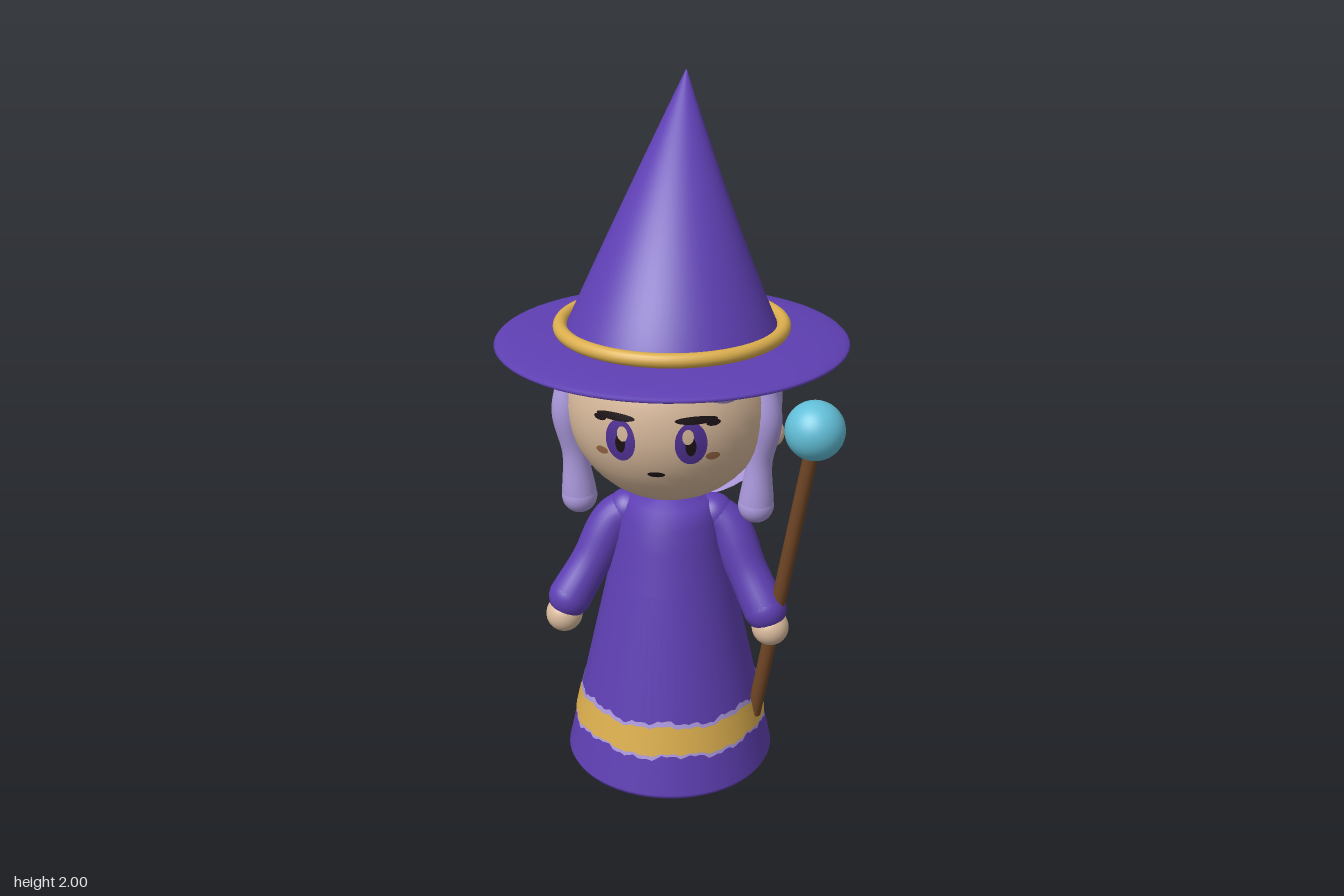
import * as THREE from 'three';
import { mergeVertices } from 'three/addons/utils/BufferGeometryUtils.js';

const mat = (name, color, extra = {}) => {
  const m = new THREE.MeshStandardMaterial({ color, ...extra });
  m.name = name;
  return m;
};
const V = (x, y, z) => new THREE.Vector3(x, y, z);

// Recompute normals with seams welded
function smooth(geo) {
  geo.deleteAttribute('uv');
  geo.deleteAttribute('normal');
  const g = mergeVertices(geo, 1e-5);
  g.computeVertexNormals();
  return g;
}

// Tube whose radius varies along its length
function sweep(points, radii) {
  const n = 32, sides = 24;
  const path = new THREE.CatmullRomCurve3(points);
  const geo = new THREE.TubeGeometry(path, n, 1, sides);
  const p = geo.attributes.position, v = V(0, 0, 0);
  const profile = new THREE.SplineCurve(radii.map((r, i) => new THREE.Vector2(i, r)));
  for (let i = 0; i <= n; i++) {
    const c = path.getPointAt(i / n), r = profile.getPoint(i / n).y;
    for (let j = 0; j <= sides; j++) {
      const k = i * (sides + 1) + j;
      v.fromBufferAttribute(p, k).sub(c).multiplyScalar(r).add(c);
      p.setXYZ(k, v.x, v.y, v.z);
    }
  }
  return smooth(geo);
}

export function createModel() {
  const robeMat = mat('purple cloth', 0x5e3fb2);
  const goldMat = mat('gold trim', 0xdbae4e);
  const hairMat = mat('lavender hair', 0xac9ade, { side: THREE.DoubleSide });
  const skinMat = mat('skin', 0xdabb9d);
  const woodMat = mat('brown wood', 0x6e4424);
  const orbMat = mat('blue orb', 0x62bfd8);
  const irisMat = mat('violet iris', 0x533499);
  const darkMat = mat('dark lash', 0x1c1216);
  const blushMat = mat('brown blush', 0x9a6a45);

  const model = new THREE.Group();
  const add = (name, geo, material, x = 0, y = 0, z = 0) => {
    const m = new THREE.Mesh(geo, material);
    m.name = name;
    m.position.set(x, y, z);
    model.add(m);
    return m;
  };
  const ball = (name, material, x, y, z, rx, ry = rx, rz = rx) => {
    const m = add(name, new THREE.SphereGeometry(1, 32, 24), material, x, y, z);
    m.scale.set(rx, ry, rz);
    return m;
  };

  // Robe: straight flared skirt up to a rounded collar
  const robeZ = 0.04;
  const robeR = (y) => 0.31 - 0.22 * (y - 0.02);
  const robe = [[0, 0], [0.285, 0], [0.303, 0.006], [0.31, 0.02], [robeR(0.6), 0.6],
    [0.153, 0.72], [0.14, 0.79], [0.115, 0.84], [0, 0.87]];
  add('robe', new THREE.LatheGeometry(robe.map(([x, y]) => new THREE.Vector2(x, y)), 64), robeMat, 0, 0, robeZ);

  // Hem band with ragged edges
  function band(y0, y1, lift, jag) {
    const geo = new THREE.CylinderGeometry(1, 1, 1, 128, 1, true);
    const p = geo.attributes.position;
    for (let i = 0; i < p.count; i++) {
      const a = Math.atan2(p.getX(i), p.getZ(i)), phase = p.getY(i) > 0 ? 1 : 0;
      const w = Math.sin(7 * a + phase) + Math.sin(19 * a) * 0.7 + Math.sin(43 * a + 2 * phase) * 0.6;
      const y = (phase ? y1 : y0) + jag * w, r = robeR(y) + lift;
      p.setXYZ(i, Math.sin(a) * r, y, Math.cos(a) * r);
    }
    return smooth(geo);
  }
  add('hemBandEdge', band(0.132, 0.234, 0.002, 0.006), hairMat, 0, 0, robeZ);
  add('hemBand', band(0.142, 0.222, 0.004, 0.004), goldMat, 0, 0, robeZ);

  // Head and ponytail
  const headY = 1.15, headZ = 0.04, headR = 0.295;
  ball('head', skinMat, 0, headY, headZ, headR);
  const cap = add('backHair', new THREE.SphereGeometry(0.325, 48, 32, 0, Math.PI * 2, 0, 1.94),
    hairMat, 0, 1.13, -0.01);
  cap.rotation.x = -1.148;
  cap.scale.x = 0.965;
  add('ponytail', sweep([V(0, 1.0, -0.19), V(0, 0.87, -0.235), V(0, 0.75, -0.225), V(0, 0.63, -0.205)],
    [0.09, 0.12, 0.086, 0.09]), hairMat);
  ball('ponytailTip', hairMat, 0, 0.628, -0.205, 0.091);

  // Fringe peeking out under the hat
  ball('fringeCentre', hairMat, 0, 1.285, 0.285, 0.1, 0.03, 0.035);

  for (const s of [-1, 1]) {
    const side = s > 0 ? 'left' : 'right';
    const fringe = ball(side + 'Fringe', hairMat, s * 0.16, 1.255, 0.24, 0.075, 0.05, 0.04);
    fringe.rotation.y = s * 0.55;
    ball(side + 'Ear', skinMat, s * 0.295, 1.05, 0.03, 0.03, 0.04, 0.03);

    // Hanging side lock
    add(side + 'Lock', sweep([V(s * 0.265, 1.26, 0.12), V(s * 0.277, 1.12, 0.12), V(s * 0.262, 0.99, 0.11),
      V(s * 0.254, 0.86, 0.1)], [0.03, 0.046, 0.036, 0.05]), hairMat);
    ball(side + 'LockTip', hairMat, s * 0.254, 0.855, 0.1, 0.051);

    // Sleeve and hand
    ball(side + 'Shoulder', robeMat, s * 0.125, 0.785, 0.025, 0.062);
    add(side + 'Sleeve', sweep([V(s * 0.11, 0.79, 0.025), V(s * 0.165, 0.755, 0.03), V(s * 0.225, 0.64, 0.065),
      V(s * 0.287, 0.53, 0.11)], [0.06, 0.064, 0.06, 0.064]), robeMat);
    ball(side + 'Cuff', robeMat, s * 0.287, 0.53, 0.11, 0.064);
    ball(side + 'Hand', skinMat, s * 0.305, 0.475, 0.118, 0.054);
  }

  // Face details: thin patches curved over the head
  function patch(name, material, x, y, rx, ry, lift) {
    const geo = new THREE.RingGeometry(0.01, 1, 28, 4);
    const p = geo.attributes.position;
    for (let i = 0; i < p.count; i++) {
      const px = x + p.getX(i) * rx, py = y + p.getY(i) * ry;
      const r = headR + lift;
      p.setXYZ(i, px, py, headZ + Math.sqrt(r * r - px * px - (py - headY) ** 2));
    }
    geo.computeVertexNormals();
    add(name, geo, material);
  }
  for (const s of [-1, 1]) {
    const side = s > 0 ? 'left' : 'right';
    patch(side + 'Iris', irisMat, s * 0.095, 1.122, 0.042, 0.062, 0.003);
    patch(side + 'Pupil', darkMat, s * 0.095, 1.115, 0.014, 0.028, 0.005);
    patch(side + 'EyeHighlight', skinMat, s * 0.088, 1.145, 0.015, 0.022, 0.007);
    patch(side + 'Lash', darkMat, s * 0.108, 1.19, 0.055, 0.011, 0.006);
    patch(side + 'LashTip', darkMat, s * 0.152, 1.18, 0.018, 0.009, 0.007);
    patch(side + 'Blush', blushMat, s * 0.15, 1.08, 0.018, 0.012, 0.004);
  }
  patch('mouth', darkMat, 0, 1.025, 0.024, 0.009, 0.004);

  // Hat: flat brim, gold band and a cone swept backwards
  const brim = add('hatBrim', new THREE.SphereGeometry(0.497, 64, 24), robeMat, 0, 1.305, 0);
  brim.scale.y = 0.07;
  const ring = add('hatBand', new THREE.TorusGeometry(0.312, 0.02, 16, 64), goldMat, 0, 1.35, 0);
  ring.rotation.x = Math.PI / 2;
  const cone = new THREE.CylinderGeometry(0.002, 0.304, 0.67, 64, 32, true);
  const cp = cone.attributes.position;
  for (let i = 0; i < cp.count; i++) {
    const t = THREE.MathUtils.clamp(cp.getY(i) / 0.67 + 0.5, 0, 1);
    cp.setZ(i, cp.getZ(i) - 0.298 * Math.pow(t, 1.65));
  }
  add('hatCone', smooth(cone), robeMat, 0, 1.665, 0);

  // Staff with orb
  const a = V(0.262, 0.17, 0.105), b = V(0.413, 1.08, 0.14);
  const dir = b.clone().sub(a), mid = a.clone().add(b).multiplyScalar(0.5);
  const staff = add('staff', new THREE.CylinderGeometry(0.021, 0.021, dir.length(), 16), woodMat, mid.x, mid.y, mid.z);
  staff.quaternion.setFromUnitVectors(V(0, 1, 0), dir.normalize());
  ball('staffOrb', orbMat, 0.414, 1.107, 0.14, 0.084);

  return model;
}
